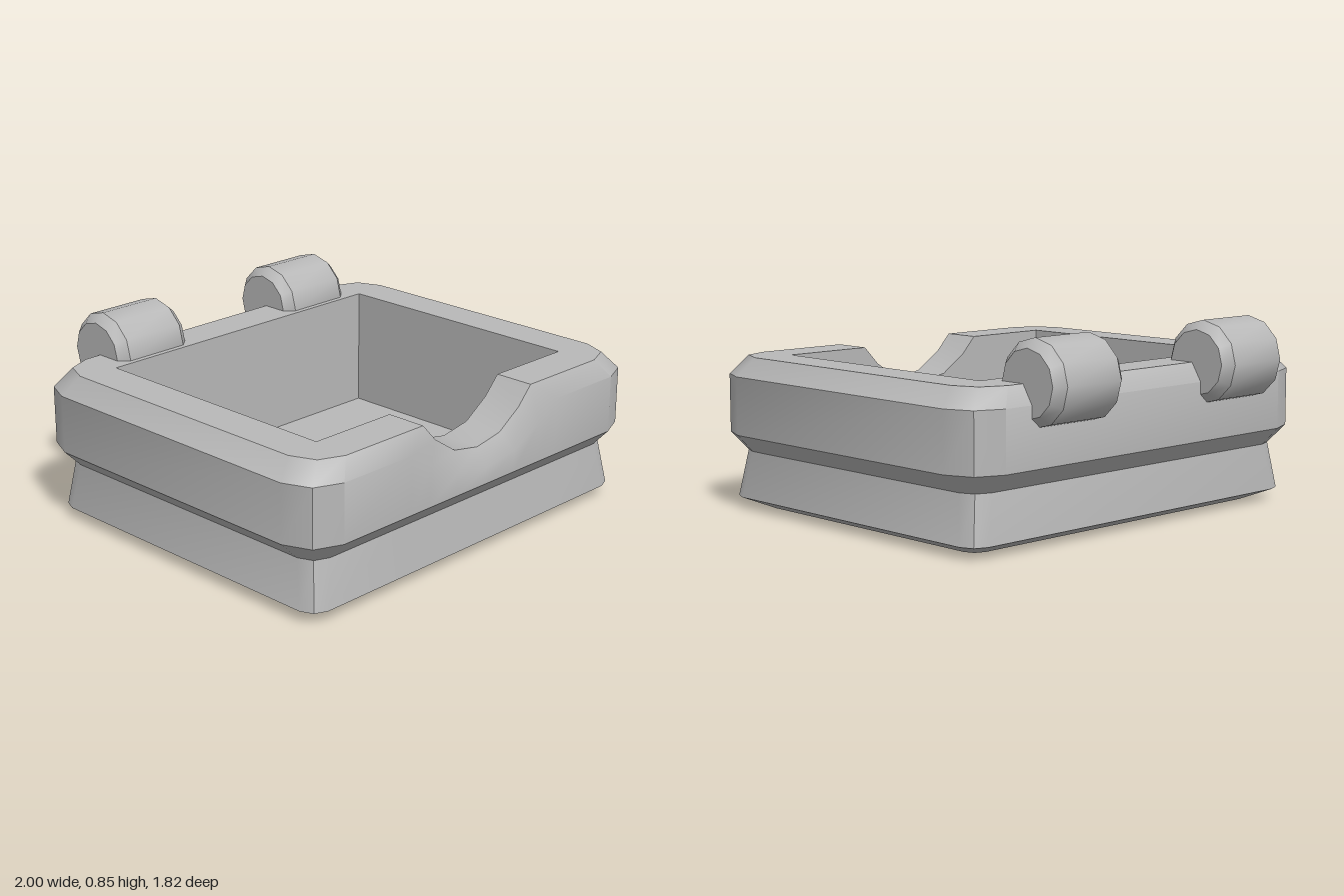
import * as THREE from 'three';
import { toCreasedNormals } from 'three/addons/utils/BufferGeometryUtils.js';

// Notch profiles: half-columns as [x, y], from the centre outward
const NOTCH_INNER = [[0, 0.485], [0.14, 0.51], [0.26, 0.59], [0.335, 0.67]];
const NOTCH_OUTER = [[0, 0.405], [0.18, 0.43], [0.34, 0.51], [0.45, 0.59]];
const mirrorNotch = (half) => [
  ...half.slice(1).reverse().map(([x, y]) => [-x, y]),
  ...half,
];

// Rounded rectangle ring at height y; the front edge carries the notch columns
function ring(y, hx, zBack, zFront, r, notch, dip = false, spread = 1) {
  const pts = mirrorNotch(notch).map(([x, ny]) =>
    new THREE.Vector3(x * spread, dip ? ny : y, zFront));
  const corners = [[1, zFront - r], [1, zBack + r], [-1, zBack + r], [-1, zFront - r]];
  corners.forEach(([side, cz], k) => {
    for (let j = 0; j <= 2; j++) {
      const t = (k + j / 2) * Math.PI / 2;
      pts.push(new THREE.Vector3(side * (hx - r) + r * Math.sin(t), y, cz + r * Math.cos(t)));
    }
  });
  return pts;
}

// Skin successive rings, leaving out collapsed triangles
function loft(rings) {
  const pos = [];
  const tri = (a, b, c) => {
    const area = b.clone().sub(a).cross(c.clone().sub(a)).length();
    if (area > 1e-7) for (const p of [a, b, c]) pos.push(p.x, p.y, p.z);
  };
  for (let l = 0; l + 1 < rings.length; l++) {
    const lo = rings[l], hi = rings[l + 1], n = lo.length;
    for (let i = 0; i < n; i++) {
      const j = (i + 1) % n;
      tri(lo[i], lo[j], hi[j]);
      tri(lo[i], hi[j], hi[i]);
    }
  }
  const geo = new THREE.BufferGeometry();
  geo.setAttribute('position', new THREE.Float32BufferAttribute(pos, 3));
  return toCreasedNormals(geo, 0.6);
}

export function createModel() {
  const model = new THREE.Group();
  model.name = 'openCase';
  const grey = new THREE.MeshStandardMaterial({ color: 0xb8b8b8 });
  grey.name = 'grey';

  // Case: flared foot, waist, thick rim, notched top and pocket
  const body = new THREE.Mesh(loft([
    ring(0, 0, 0.08, 0.08, 0, NOTCH_OUTER, false, 0),
    ring(0, 0.84, -0.59, 0.745, 0.06, NOTCH_OUTER),
    ring(0.05, 0.95, -0.705, 0.865, 0.08, NOTCH_OUTER),
    ring(0.255, 0.92, -0.68, 0.835, 0.09, NOTCH_OUTER),
    ring(0.335, 1, -0.76, 0.91, 0.17, NOTCH_OUTER),
    ring(0.59, 1, -0.76, 0.91, 0.17, NOTCH_OUTER, true),
    ring(0.67, 0.925, -0.71, 0.86, 0.155, NOTCH_INNER, true),
    ring(0.67, 0.75, -0.53, 0.68, 0, NOTCH_INNER, true),
    ring(0.135, 0.75, -0.53, 0.68, 0, NOTCH_INNER),
    ring(0.135, 0, 0.08, 0.08, 0, NOTCH_INNER, false, 0),
  ]), grey);
  body.name = 'caseBody';
  model.add(body);

  // Hinge barrels with chamfered ends
  const profile = [[0, -0.193], [0.14, -0.193], [0.178, -0.15], [0.178, 0.15], [0.14, 0.193], [0, 0.193]]
    .map(([r, y]) => new THREE.Vector2(r, y));
  const barrel = toCreasedNormals(new THREE.LatheGeometry(profile, 12).rotateZ(Math.PI / 2), 0.6);
  for (const side of [1, -1]) {
    const hinge = new THREE.Mesh(barrel, grey);
    hinge.name = side > 0 ? 'leftHingeBarrel' : 'rightHingeBarrel';
    hinge.position.set(side * 0.498, 0.67, -0.733);
    model.add(hinge);
  }
  return model;
}
